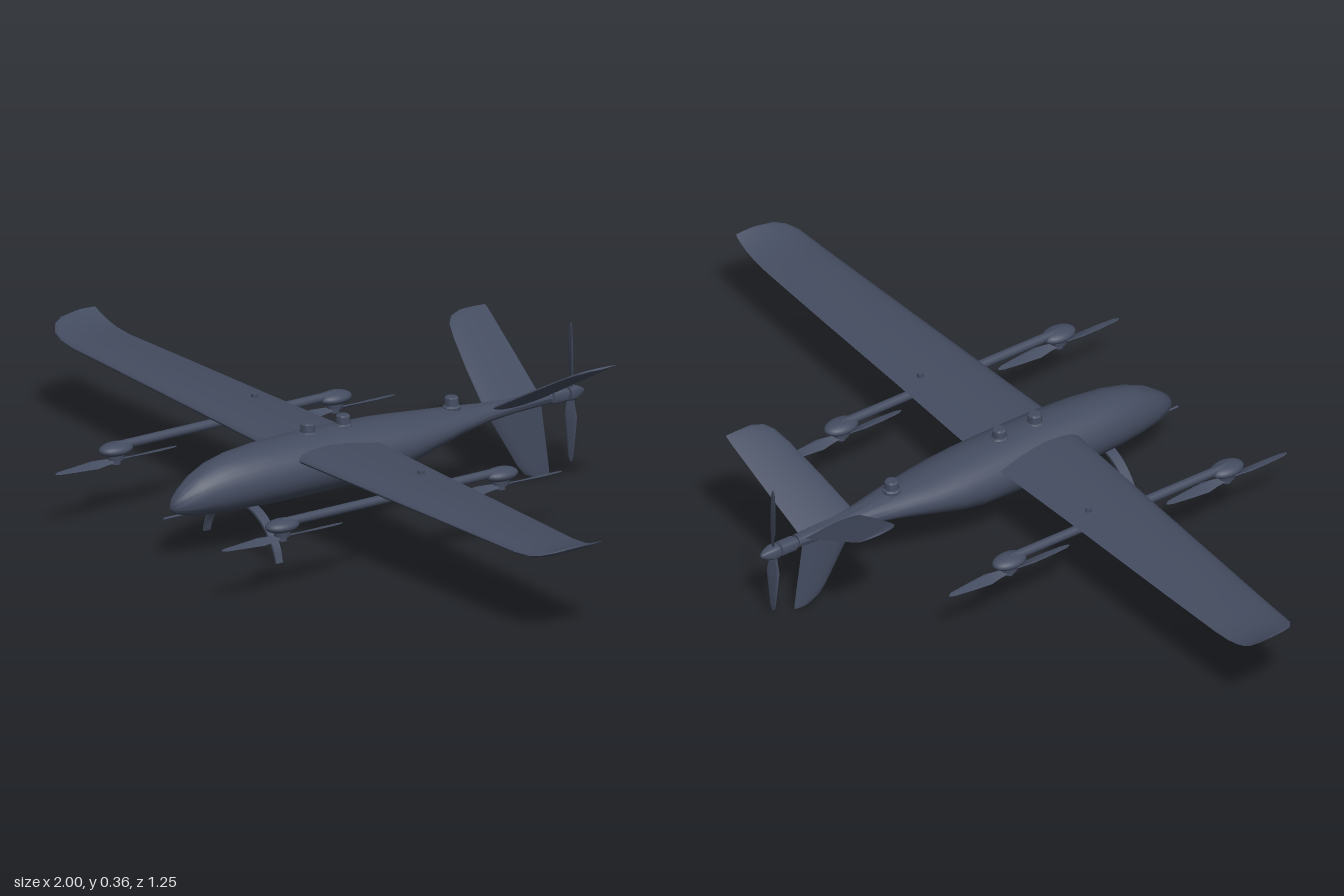
import * as THREE from 'three';
import { toCreasedNormals } from 'three/addons/utils/BufferGeometryUtils.js';

const material = new THREE.MeshStandardMaterial({ color: 0x444c60 });

function add(parent, name, geometry, x = 0, y = 0, z = 0) {
  const mesh = new THREE.Mesh(geometry, material);
  mesh.name = name;
  mesh.position.set(x, y, z);
  parent.add(mesh);
  return mesh;
}

// Closed skin through rings of equal point count, capped at both ends, wound outward.
function loft(rings, crease = 0.7) {
  const n = rings[0].length;
  const points = rings.flat();
  const faces = [];
  for (let i = 0; i < rings.length - 1; i++) {
    for (let j = 0; j < n; j++) {
      const a = i * n + j, b = i * n + (j + 1) % n;
      faces.push([a, b, b + n], [a, b + n, a + n]);
    }
  }
  const last = (rings.length - 1) * n;
  for (let j = 1; j < n - 1; j++) {
    faces.push([0, j + 1, j], [last, last + j, last + j + 1]);
  }
  let volume = 0;
  for (const [a, b, c] of faces) {
    volume += points[a].dot(new THREE.Vector3().crossVectors(points[b], points[c]));
  }
  const geometry = new THREE.BufferGeometry().setFromPoints(points);
  geometry.setIndex(faces.flatMap(([a, b, c]) => (volume < 0 ? [a, c, b] : [a, b, c])));
  return toCreasedNormals(geometry, crease);
}

// Airfoil surface spanning x; stations are [x, leadingZ, trailingZ, y, thickness, twist].
function foil(stations, n = 20) {
  return loft(stations.map(([x, lead, trail, y, thick, twist = 0]) => {
    const ring = [];
    const mid = (lead + trail) / 2;
    for (let j = 0; j < n; j++) {
      const a = (j / n) * Math.PI * 2;
      const u = (1 - Math.cos(a)) / 2; // 0 at leading edge, 1 at trailing edge
      const h = 1.3 * thick * Math.sqrt(u) * (1 - u) * Math.sign(Math.sin(a));
      const dz = lead + (trail - lead) * u - mid;
      ring.push(new THREE.Vector3(
        x,
        y + h * Math.cos(twist) + dz * Math.sin(twist),
        mid + dz * Math.cos(twist) - h * Math.sin(twist)
      ));
    }
    return ring;
  }));
}

// Fuselage sections: [z, half width, bottom, widest height, top].
function fuselageGeometry() {
  const sections = [
    [0.535, 0.004, 0.132, 0.137, 0.142], [0.525, 0.016, 0.121, 0.14, 0.16],
    [0.505, 0.029, 0.114, 0.145, 0.178], [0.47, 0.045, 0.107, 0.152, 0.203],
    [0.42, 0.06, 0.103, 0.16, 0.224], [0.36, 0.072, 0.1, 0.166, 0.236],
    [0.28, 0.081, 0.098, 0.17, 0.242], [0.18, 0.085, 0.097, 0.172, 0.244],
    [0.06, 0.085, 0.099, 0.173, 0.242], [-0.04, 0.085, 0.102, 0.173, 0.238],
    [-0.1, 0.081, 0.114, 0.175, 0.233], [-0.17, 0.071, 0.134, 0.18, 0.226],
    [-0.26, 0.052, 0.155, 0.186, 0.219], [-0.34, 0.034, 0.167, 0.188, 0.211],
    [-0.42, 0.022, 0.172, 0.189, 0.207], [-0.525, 0.016, 0.174, 0.19, 0.206]
  ];
  return loft(sections.map(([z, w, bottom, mid, top]) => {
    const ring = [];
    for (let j = 0; j < 32; j++) {
      const a = (j / 32) * Math.PI * 2;
      const s = Math.sin(a);
      ring.push(new THREE.Vector3(w * Math.cos(a), mid + s * (s > 0 ? top - mid : mid - bottom), z));
    }
    return ring;
  }));
}

// Two-bladed propeller turning about y, blades along z.
function propeller(name, radius, chord) {
  const group = new THREE.Group();
  group.name = name;
  const c = chord / 2;
  const blade = foil([
    [0.008, c * 0.45, -c * 0.45, 0, 0.007, 0.5], [radius * 0.18, c * 0.7, -c * 0.6, 0, 0.006, 0.45],
    [radius * 0.35, c, -c, 0, 0.005, 0.32], [radius * 0.65, c * 0.75, -c * 0.8, 0, 0.004, 0.2],
    [radius * 0.93, c * 0.45, -c * 0.5, 0, 0.003, 0.12], [radius, c * 0.1, -c * 0.2, 0, 0.002, 0.1]
  ], 12);
  for (const side of [1, -1]) {
    add(group, 'propellerBlade', blade).rotation.y = side * Math.PI / 2;
  }
  add(group, 'propellerHub', new THREE.CylinderGeometry(0.011, 0.011, 0.016, 20));
  return group;
}

export function createModel() {
  const model = new THREE.Group();
  model.name = 'fixedWingDrone';

  add(model, 'fuselage', fuselageGeometry());

  // Main wing with swept, upturned tips
  const half = [
    [0, 0.228, -0.002, 0.207, 0.034], [0.09, 0.224, 0, 0.207, 0.034],
    [0.35, 0.212, 0.01, 0.207, 0.032], [0.65, 0.199, 0.019, 0.207, 0.028],
    [0.87, 0.19, 0.027, 0.207, 0.024], [0.92, 0.186, 0.028, 0.211, 0.02],
    [0.955, 0.178, 0.029, 0.219, 0.016], [0.98, 0.16, 0.03, 0.228, 0.011],
    [0.993, 0.135, 0.031, 0.235, 0.007], [1, 0.09, 0.032, 0.239, 0.004]
  ];
  const mirrored = half.slice(1).reverse().map(([x, ...rest]) => [-x, ...rest]);
  add(model, 'wing', foil([...mirrored, ...half], 28));

  // Three tail fins spread around the tail boom
  const upperFin = foil([
    [0, -0.35, -0.508, 0, 0.016], [0.13, -0.377, -0.521, 0, 0.014],
    [0.23, -0.402, -0.53, 0, 0.011], [0.27, -0.416, -0.534, 0, 0.01],
    [0.29, -0.433, -0.535, 0, 0.008], [0.3, -0.46, -0.535, 0, 0.005]
  ]);
  const lowerFin = foil([
    [0, -0.35, -0.505, 0, 0.016], [0.08, -0.398, -0.516, 0, 0.014],
    [0.15, -0.44, -0.526, 0, 0.011], [0.175, -0.46, -0.529, 0, 0.009],
    [0.19, -0.49, -0.53, 0, 0.005]
  ]);
  add(model, 'leftTailFin', upperFin, 0, 0.19, 0).rotation.z = Math.PI / 6;
  add(model, 'rightTailFin', upperFin, 0, 0.19, 0).rotation.z = Math.PI * 5 / 6;
  add(model, 'lowerTailFin', lowerFin, 0, 0.19, 0).rotation.z = -Math.PI / 2;

  // Pusher motor, propeller and spinner
  const motorProfile = [
    [0, 0.515], [0.013, 0.515], [0.013, 0.532], [0.018, 0.534], [0.018, 0.573], [0.012, 0.576],
    [0.012, 0.58], [0.019, 0.581], [0.018, 0.597], [0.012, 0.613], [0.005, 0.624], [0, 0.626]
  ].map(([r, y]) => new THREE.Vector2(r, y));
  const motor = toCreasedNormals(new THREE.LatheGeometry(motorProfile, 24), 0.6);
  add(model, 'pusherMotor', motor, 0, 0.188, 0).rotation.x = -Math.PI / 2;
  const pusher = propeller('pusherPropeller', 0.168, 0.036);
  pusher.position.set(0, 0.19, -0.59);
  pusher.rotation.x = Math.PI / 2;
  model.add(pusher);

  // Lift booms with two motors each, propellers underneath
  for (const side of [1, -1]) {
    const boom = new THREE.Group();
    boom.name = side > 0 ? 'leftLiftBoom' : 'rightLiftBoom';
    boom.position.x = side * 0.327;
    model.add(boom);
    add(boom, 'boomTube', new THREE.CylinderGeometry(0.011, 0.011, 0.62, 18), 0, 0.177, 0.148)
      .rotation.x = Math.PI / 2;
    add(boom, 'wingBracket', new THREE.BoxGeometry(0.022, 0.03, 0.13), 0, 0.191, 0.11);
    add(boom, 'wingBolt', new THREE.CylinderGeometry(0.008, 0.008, 0.012, 16), 0, 0.22, 0.065);
    for (const z of [0.455, -0.16]) {
      const pod = add(boom, 'motorPod', new THREE.SphereGeometry(1, 24, 16), 0, 0.171, z);
      pod.scale.set(0.029, 0.016, 0.044);
      add(boom, 'liftMotor', new THREE.CylinderGeometry(0.021, 0.019, 0.018, 24), 0, 0.156, z);
      const prop = propeller('liftPropeller', 0.17, 0.032);
      prop.position.set(0, 0.143, z);
      boom.add(prop);
    }
  }

  // Arched landing gear strap
  const legPath = new THREE.CatmullRomCurve3([
    [-0.143, 0.002], [-0.132, 0.034], [-0.108, 0.068], [-0.073, 0.096], [-0.035, 0.11], [0, 0.113],
    [0.035, 0.11], [0.073, 0.096], [0.108, 0.068], [0.132, 0.034], [0.143, 0.002]
  ].map(([x, y]) => new THREE.Vector3(x, y, 0)));
  const legRings = legPath.getPoints(40).map((p, i) => {
    const t = legPath.getTangent(i / 40);
    const w = 0.009 + 0.004 * (p.y / 0.113);
    return [[1, 1], [1, -1], [-1, -1], [-1, 1]].map(([a, b]) =>
      new THREE.Vector3(p.x - t.y * a * 0.003, Math.max(0, p.y + t.x * a * 0.003), 0.332 + b * w));
  });
  add(model, 'landingGear', loft(legRings));

  // Nose air probe
  add(model, 'noseProbe', new THREE.CylinderGeometry(0.003, 0.003, 0.08, 10), 0, 0.114, 0.515)
    .rotation.x = Math.PI / 2;

  // Round antenna domes along the spine
  for (const [z, top] of [[0.15, 0.265], [0.05, 0.265], [-0.255, 0.247]]) {
    const dome = [[0, 0], [0.021, 0], [0.021, 0.026], [0.017, 0.03], [0.016, 0.047], [0.013, 0.05], [0, 0.05]]
      .map(([r, y]) => new THREE.Vector2(r, y));
    add(model, 'antennaDome', toCreasedNormals(new THREE.LatheGeometry(dome, 24), 0.6), 0, top - 0.05, z);
  }

  return model;
}
